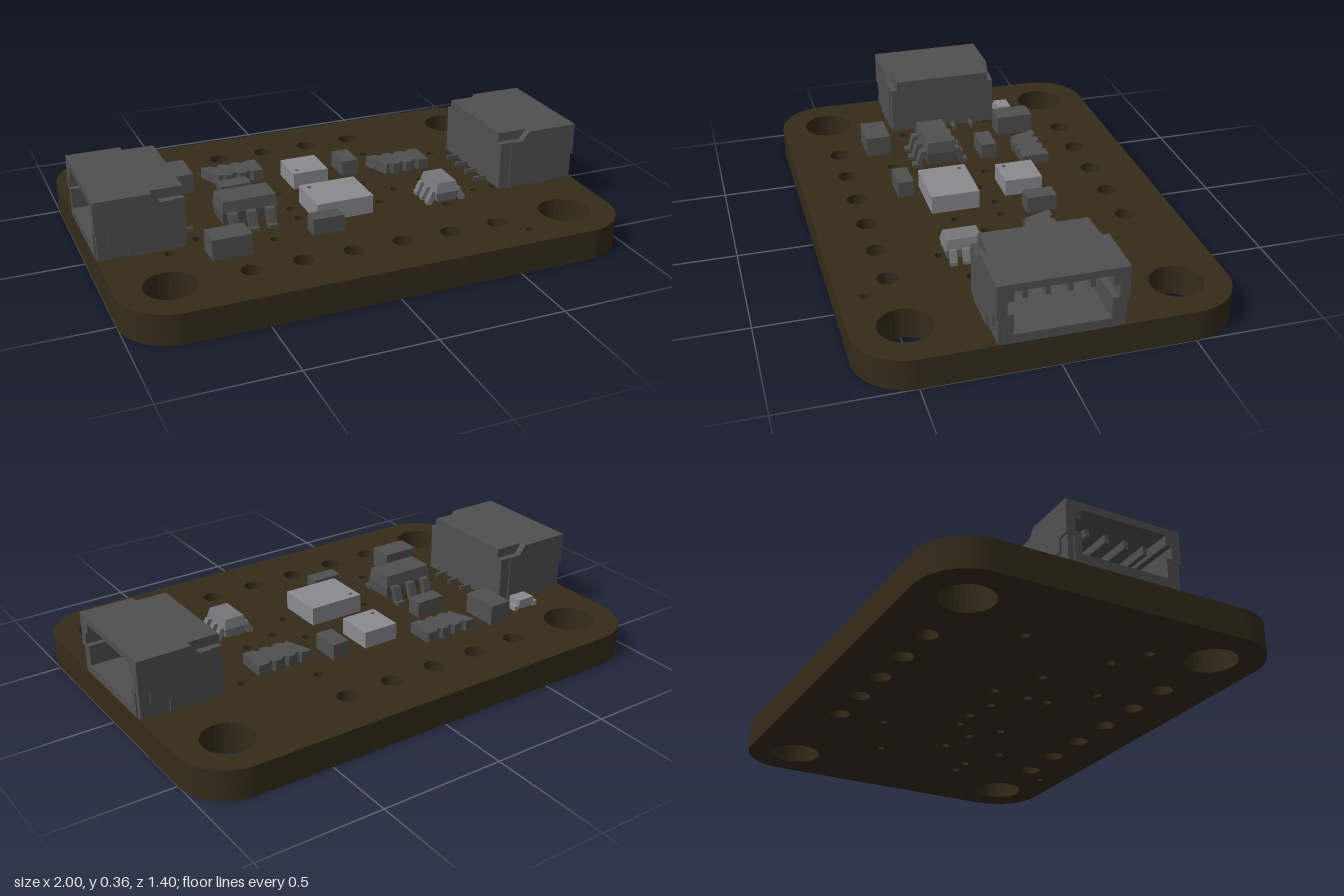
import * as THREE from 'three';

const mat = (color) => new THREE.MeshStandardMaterial({ color, flatShading: true });
const boardMat = new THREE.MeshStandardMaterial({ color: 0x352b1a });
const dark = mat(0x505050), mid = mat(0x77777a), light = mat(0x8a8a90);
const TOP = 0.122;

function add(parent, name, geo, material) {
  const m = new THREE.Mesh(geo, material);
  m.name = name;
  parent.add(m);
  return m;
}

// box given by its limits on each axis
function block(parent, name, x0, x1, y0, y1, z0, z1, material) {
  const m = add(parent, name, new THREE.BoxGeometry(x1 - x0, y1 - y0, z1 - z0), material);
  m.position.set((x0 + x1) / 2, (y0 + y1) / 2, (z0 + z1) / 2);
  return m;
}

const polygon = (pts) => new THREE.Shape(pts.map(([x, y]) => new THREE.Vector2(x, y)));
const extrude = (shape, depth, curveSegments = 12) =>
  new THREE.ExtrudeGeometry(shape, { depth, bevelEnabled: false, curveSegments });

// rounded plate with mounting holes, header holes and vias
function board() {
  const s = new THREE.Shape(), w = 1, h = 0.7, r = 0.2;
  s.moveTo(-w + r, -h);
  s.absarc(w - r, -h + r, r, -Math.PI / 2, 0);
  s.absarc(w - r, h - r, r, 0, Math.PI / 2);
  s.absarc(-w + r, h - r, r, Math.PI / 2, Math.PI);
  s.absarc(-w + r, -h + r, r, Math.PI, Math.PI * 1.5);
  const hole = (x, z, radius) => {
    const p = new THREE.Path();
    p.absarc(x, -z, radius, 0, Math.PI * 2, true);
    s.holes.push(p);
  };
  for (const x of [-0.8, 0.8]) for (const z of [-0.5, 0.5]) hole(x, z, 0.1);
  for (let i = 0; i < 6; i++) {
    hole(-0.5 + 0.2 * i, 0.5, 0.04);
    if (i < 5) hole(-0.5 + 0.2 * i, -0.5, 0.04);
  }
  const vias = [
    [0.3, -0.31], [0.57, -0.205], [-0.19, -0.065], [-0.06, -0.01], [0.07, -0.035],
    [0.17, -0.03], [0.27, 0.065], [0.41, 0.025], [-0.19, 0.08], [-0.19, 0.17],
    [0.16, 0.155], [-0.34, 0.305], [-0.74, 0.27], [-0.61, 0.19], [0.565, 0.2],
    [0.655, 0.2], [0.59, 0.6], [0.4, 0.28], [-0.655, -0.2], [-0.385, 0.035],
  ];
  for (const [x, z] of vias) hole(x, z, 0.018);
  const g = extrude(s, TOP, 16);
  g.rotateX(-Math.PI / 2);
  return g;
}

// side-entry socket whose mouth faces +x
function connector(name) {
  const g = new THREE.Group();
  g.name = name;
  const T = 0.358, W = 0.205;
  // hollow shell, section drawn in z and y
  const shell = polygon([[-W, TOP], [W, TOP], [W, T], [-W, T]]);
  shell.holes.push(polygon([
    [-0.175, 0.158], [-0.175, 0.24], [-0.198, 0.24], [-0.198, 0.29], [-0.175, 0.29], [-0.175, 0.33],
    [0.175, 0.33], [0.175, 0.29], [0.198, 0.29], [0.198, 0.24], [0.175, 0.24], [0.175, 0.158],
  ]));
  const sg = extrude(shell, 0.27);
  sg.rotateY(Math.PI / 2);
  add(g, 'socketShell', sg, dark).position.x = 0.73;
  block(g, 'socketBack', 0.66, 0.73, TOP, T, -W, W, dark);
  // stepped cheeks on both flanks, with solder tabs and feet in the recesses
  const cheek = extrude(polygon([
    [0.705, TOP], [0.88, TOP], [0.88, 0.17], [0.955, 0.17], [0.955, 0.225], [1, 0.225],
    [1, T], [0.785, T], [0.755, 0.32], [0.705, 0.32],
  ]), 0.03);
  for (const s of [-1, 1]) {
    add(g, 'socketCheek', cheek, dark).position.z = s > 0 ? W : -W - 0.03;
    const span = (a, b) => (s > 0 ? [a, b] : [-b, -a]);
    block(g, 'solderTab', 0.66, 0.705, TOP, 0.32, ...span(W, 0.23), dark);
    block(g, 'socketFoot', 0.88, 0.995, TOP, 0.17, ...span(W, 0.228), dark);
    block(g, 'socketFootUpper', 0.955, 0.995, 0.17, 0.225, ...span(W, 0.228), dark);
  }
  // contacts inside and leads behind
  for (const z of [-0.12, -0.04, 0.04, 0.12]) {
    block(g, 'contact', 0.73, 0.95, 0.262, 0.295, z - 0.009, z + 0.009, dark);
    block(g, 'lead', 0.605, 0.66, TOP, 0.14, z - 0.005, z + 0.005, dark);
  }
  return g;
}

// four-element resistor pack with scalloped long edges
function resistorPack(parent, x0, x1, z0, z1) {
  const s = new THREE.Shape(), w = (x1 - x0) / 2, h = (z1 - z0) / 2, p = w / 2, r = 0.014;
  s.moveTo(-w, -h);
  for (const x of [-p, 0, p]) s.absarc(x, -h, r, Math.PI, 0, true);
  s.lineTo(w, -h);
  s.lineTo(w, h);
  for (const x of [p, 0, -p]) s.absarc(x, h, r, 0, -Math.PI, true);
  s.lineTo(-w, h);
  const geo = extrude(s, 0.043, 4);
  geo.rotateX(-Math.PI / 2);
  add(parent, 'resistorPack', geo, dark).position.set((x0 + x1) / 2, TOP, (z0 + z1) / 2);
}

// gull-wing package: tapered body, three bent leads along each long (x) side
function leadedChip(name, len, wid, y0, y1, reach, leadW, pitch, material, taper) {
  const g = new THREE.Group();
  g.name = name;
  const body = new THREE.BoxGeometry(len, y1 - y0, wid, 1, 2, 1);
  const p = body.attributes.position;
  for (let i = 0; i < p.count; i++) {
    if (Math.abs(p.getY(i)) > 0.001) {
      p.setX(i, p.getX(i) - Math.sign(p.getX(i)) * taper);
      p.setZ(i, p.getZ(i) - Math.sign(p.getZ(i)) * taper);
    }
  }
  add(g, 'chipBody', body, material).position.y = (y0 + y1) / 2;
  const t = 0.016, ym = (y0 + y1) / 2 + 0.005, a = wid / 2 - 0.02, k = wid / 2 + (reach - wid / 2) * 0.4;
  const lead = extrude(polygon([
    [a, ym - t], [k - t, ym - t], [k, TOP], [reach, TOP], [reach, TOP + t],
    [k + t, TOP + t], [k, ym], [a, ym],
  ]), leadW);
  lead.translate(0, 0, -leadW / 2);
  for (const s of [-1, 1]) for (let i = -1; i < 2; i++) {
    const m = add(g, 'chipLead', lead, material);
    m.rotation.y = s * Math.PI / 2;
    m.position.x = i * pitch;
  }
  return g;
}

export function createModel() {
  const model = new THREE.Group();
  model.name = 'sensorBoard';
  add(model, 'board', board(), boardMat);

  const right = connector('leftConnector');
  const left = connector('rightConnector');
  left.rotation.y = Math.PI;
  model.add(right, left);

  // plain chip components: x0, x1, z0, z1, top
  for (const [x0, x1, z0, z1, y] of [
    [-0.595, -0.5, -0.365, -0.21, 0.205], [-0.61, -0.455, 0.285, 0.385, 0.205],
    [-0.425, -0.3, -0.145, -0.08, 0.188], [-0.195, -0.07, 0.27, 0.335, 0.188],
    [0.12, 0.19, -0.25, -0.13, 0.188],
  ]) block(model, 'chipComponent', x0, x1, TOP, y, z0, z1, dark);

  resistorPack(model, -0.43, -0.195, -0.345, -0.23);
  resistorPack(model, 0.255, 0.49, -0.195, -0.075);

  // sensors with small vent marks
  block(model, 'smallSensor', -0.115, 0.035, TOP, 0.19, -0.24, -0.085, light);
  block(model, 'largeSensor', -0.14, 0.095, TOP, 0.197, 0.04, 0.235, light);
  const dot = new THREE.CylinderGeometry(0.008, 0.008, 0.002, 12);
  add(model, 'sensorMark', dot, dark).position.set(-0.09, 0.19, -0.115);
  add(model, 'sensorMark', dot, dark).position.set(-0.11, 0.197, 0.07);

  // leaded packages
  const regulator = leadedChip('regulator', 0.225, 0.125, 0.14, 0.238, 0.118, 0.036, 0.075, dark, 0.006);
  regulator.position.set(-0.387, 0, 0.102);
  const shifter = leadedChip('transistorPair', 0.15, 0.1, 0.13, 0.21, 0.083, 0.026, 0.05, mid, 0.01);
  shifter.rotation.y = Math.PI / 2;
  shifter.position.set(0.405, 0, 0.195);
  model.add(regulator, shifter);

  // indicator light: base, lens and end caps
  block(model, 'indicatorBase', -0.785, -0.665, TOP, 0.135, -0.318, -0.272, light);
  block(model, 'indicatorLens', -0.763, -0.687, 0.13, 0.165, -0.325, -0.265, light);
  for (const x of [-0.785, -0.685])
    block(model, 'indicatorCap', x, x + 0.02, TOP, 0.142, -0.325, -0.265, light);
  return model;
}
